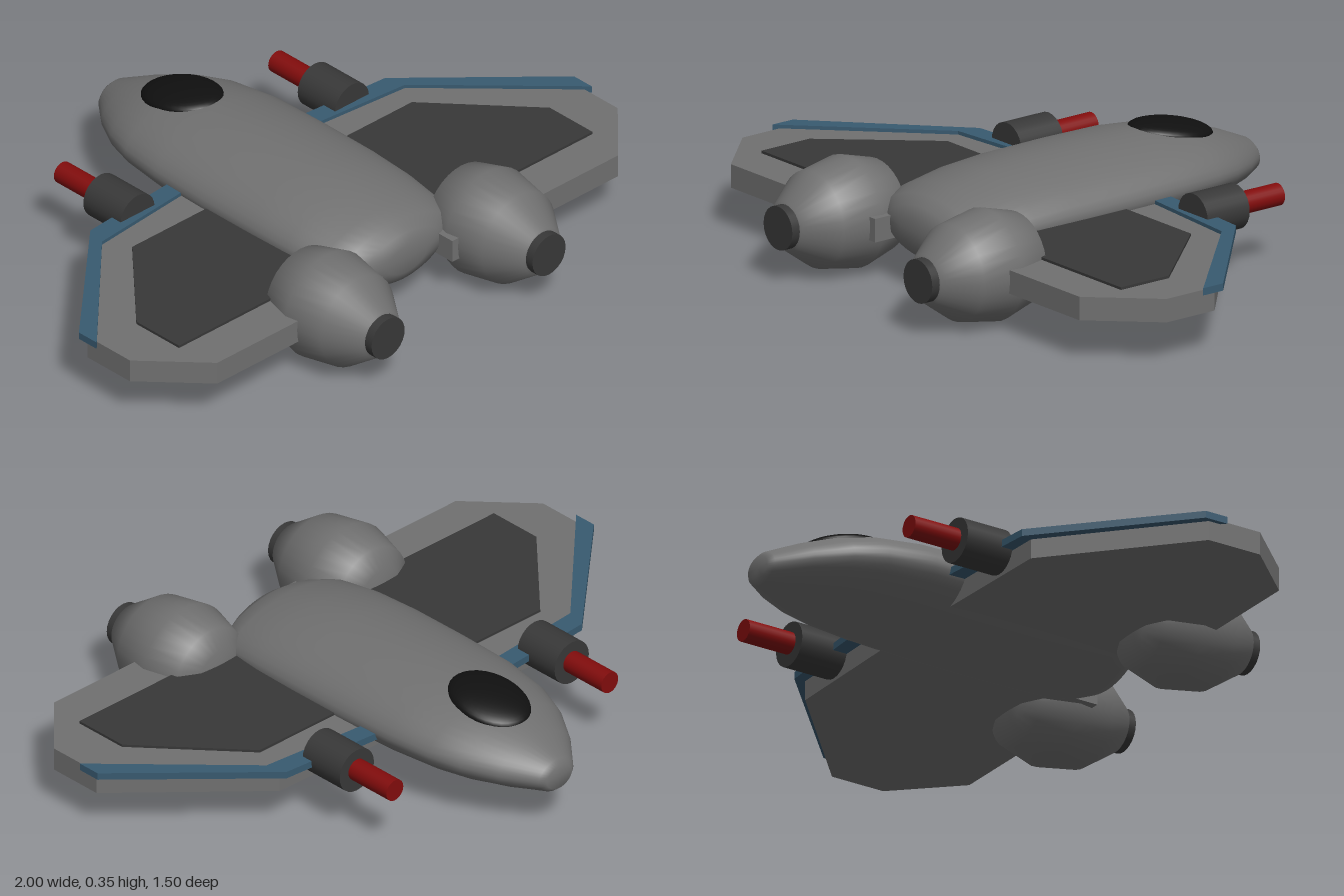
import * as THREE from 'three';

const mat = (name, color) => {
  const m = new THREE.MeshStandardMaterial({ color });
  m.name = name;
  return m;
};

// Smooth hull lofted through rounded sections [z, halfWidth, bottom, top]
function loft(sections, sides = 40, power = 1.85) {
  const pos = [], index = [];
  for (const [z, w, lo, hi] of sections) {
    for (let j = 0; j < sides; j++) {
      const t = (j / sides) * Math.PI * 2, c = Math.cos(t), s = Math.sin(t);
      const bend = (v) => Math.sign(v) * Math.abs(v) ** (2 / power);
      pos.push(w * bend(c), (lo + hi) / 2 + ((hi - lo) / 2) * bend(s), z);
    }
  }
  for (let i = 0; i < sections.length - 1; i++) {
    for (let j = 0; j < sides; j++) {
      const a = i * sides + j, b = i * sides + ((j + 1) % sides);
      index.push(a, b, a + sides, b, b + sides, a + sides);
    }
  }
  // End caps
  const last = sections.length - 1;
  for (const i of [0, last]) {
    const [z, , lo, hi] = sections[i], centre = pos.length / 3;
    pos.push(0, (lo + hi) / 2, z);
    for (let j = 0; j < sides; j++) {
      const a = i * sides + j, b = i * sides + ((j + 1) % sides);
      if (i === 0) index.push(centre, b, a);
      else index.push(centre, a, b);
    }
  }
  const g = new THREE.BufferGeometry();
  g.setAttribute('position', new THREE.Float32BufferAttribute(pos, 3));
  g.setIndex(index);
  g.computeVertexNormals();
  return g;
}

// Flat slab from an (x, z) outline, between two heights
function slab(outline, side, bottom, top) {
  const shape = new THREE.Shape(outline.map(([x, z]) => new THREE.Vector2(x * side, z)));
  return new THREE.ExtrudeGeometry(shape, { depth: top - bottom, bevelEnabled: false })
    .rotateX(Math.PI / 2).translate(0, top, 0);
}

// Cylinder lying along z
const rod = (radius, z0, z1) =>
  new THREE.CylinderGeometry(radius, radius, z1 - z0, 24)
    .rotateX(Math.PI / 2).translate(0, 0, (z0 + z1) / 2);

export function createModel() {
  const model = new THREE.Group();
  model.name = 'spaceFighter';
  const grey = mat('hullGrey', 0x707070);
  const dark = mat('darkGrey', 0x383838);
  const blue = mat('trimBlue', 0x385a70);
  const red = mat('barrelRed', 0x820c0c);
  const black = mat('canopyBlack', 0x101010);

  const add = (name, geometry, material, x = 0, y = 0, z = 0) => {
    const mesh = new THREE.Mesh(geometry, material);
    mesh.name = name;
    mesh.position.set(x, y, z);
    model.add(mesh);
    return mesh;
  };

  // Fuselage, nose towards -z
  add('fuselage', loft([
    [-0.755, 0.05, 0.145, 0.22], [-0.74, 0.07, 0.133, 0.235], [-0.65, 0.145, 0.12, 0.275],
    [-0.55, 0.205, 0.11, 0.31], [-0.45, 0.24, 0.103, 0.333], [-0.3, 0.262, 0.096, 0.347],
    [-0.1, 0.267, 0.088, 0.35], [0.1, 0.267, 0.087, 0.348], [0.25, 0.263, 0.09, 0.337],
    [0.38, 0.252, 0.095, 0.312], [0.44, 0.22, 0.1, 0.29], [0.475, 0.16, 0.11, 0.265],
    [0.49, 0.08, 0.14, 0.23],
  ]), grey);

  // Canopy bubble, pitched down along the nose
  const canopy = add('canopy', new THREE.SphereGeometry(1, 32, 20), black, 0, 0.315, -0.458);
  canopy.scale.set(0.108, 0.034, 0.138);
  canopy.rotation.x = -0.17;

  const wing = [[0.14, -0.2], [0.59, -0.19], [0.985, 0.17], [0.985, 0.35], [0.81, 0.535], [0.14, 0.535]];
  const panel = [[0.2, 0.4], [0.2, 0.08 - 0.16], [0.565, -0.08], [0.835, 0.22], [0.835, 0.4]];
  const trim = [[0.2, -0.255], [0.595, -0.225], [1, 0.15], [1, 0.225], [0.612, -0.158], [0.2, -0.195]];
  const pod = [[0, 0.338], [0.08, 0.346], [0.14, 0.38], [0.17, 0.49], [0.147, 0.62], [0.075, 0.722], [0, 0.722]];

  for (const [side, label] of [[1, 'left'], [-1, 'right']]) {
    // Wing with inset panel and leading edge strip
    add(label + 'Wing', slab(wing, side, 0.133, 0.205), grey);
    add(label + 'WingPanel', slab(panel, side, 0.204, 0.213), dark);
    add(label + 'LeadingEdge', slab(trim, side, 0.194, 0.216), blue);

    // Engine pod and exhaust
    const profile = pod.map(([r, z]) => new THREE.Vector2(r, z));
    add(label + 'Engine', new THREE.LatheGeometry(profile, 32).rotateX(Math.PI / 2), grey, side * 0.325, 0.174);
    add(label + 'Exhaust', rod(0.067, 0.7, 0.75), dark, side * 0.325, 0.174);

    // Wing gun
    add(label + 'GunMount', rod(0.069, -0.352, -0.195), dark, side * 0.433, 0.21);
    add(label + 'GunBarrel', rod(0.034, -0.513, -0.34), red, side * 0.433, 0.213);
  }
  return model;
}
